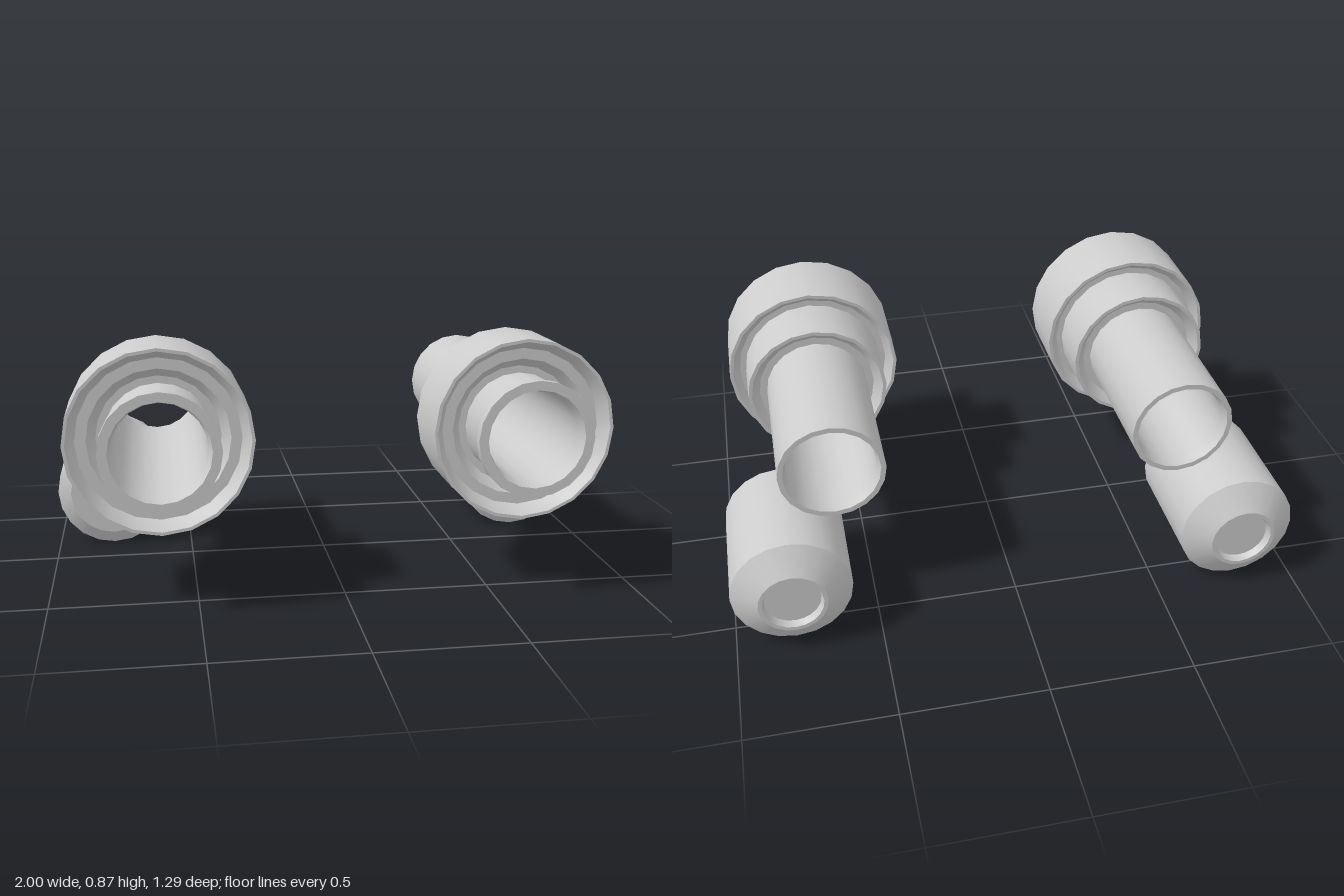
import * as THREE from 'three';
import { toCreasedNormals } from 'three/addons/utils/BufferGeometryUtils.js';

const material = new THREE.MeshStandardMaterial({ color: 0xcccccc });
const SIDES = 20;

// Turned part along z; profile is [radius, z], outside running towards +z
function turned(name, profile) {
  const points = profile.map(([r, z]) => new THREE.Vector2(r, z));
  const geometry = new THREE.LatheGeometry(points, SIDES).rotateX(Math.PI / 2);
  const mesh = new THREE.Mesh(toCreasedNormals(geometry, 0.45), material);
  mesh.name = name;
  return mesh;
}

function createUnit(side) {
  const unit = new THREE.Group();
  unit.name = side > 0 ? 'leftUnit' : 'rightUnit';

  // Open pipe with a flared front lip
  const pipe = turned('pipe', [
    [0.165, -0.415], [0.183, -0.415], [0.183, 0.59], [0.198, 0.615],
    [0.198, 0.646], [0.166, 0.646], [0.155, 0.6], [0.155, -0.38], [0.165, -0.415],
  ]);

  // Stepped collar with bevelled recesses at both ends
  const collar = turned('collar', [
    [0.18, 0.12], [0.21, 0.12], [0.24, 0.083], [0.253, 0.083],
    [0.253, 0.28], [0.275, 0.28], [0.302, 0.245], [0.314, 0.245],
    [0.314, 0.515], [0.303, 0.515], [0.275, 0.46], [0.238, 0.46],
    [0.208, 0.42], [0.18, 0.42],
  ]);

  for (const part of [pipe, collar]) {
    part.position.set(side * 0.615, 0.555, 0);
    unit.add(part);
  }

  // Solid canister, chamfered at both ends, with a shallow dish at the back
  const canister = turned('canister', [
    [0, -0.62], [0.095, -0.62], [0.103, -0.645], [0.117, -0.645],
    [0.207, -0.58], [0.207, -0.167], [0.158, -0.134], [0, -0.134],
  ]);
  canister.position.set(side * 0.793, 0.207, 0);
  unit.add(canister);
  return unit;
}

export function createModel() {
  const model = new THREE.Group();
  model.name = 'twinPipes';
  for (const side of [-1, 1]) model.add(createUnit(side));
  return model;
}
